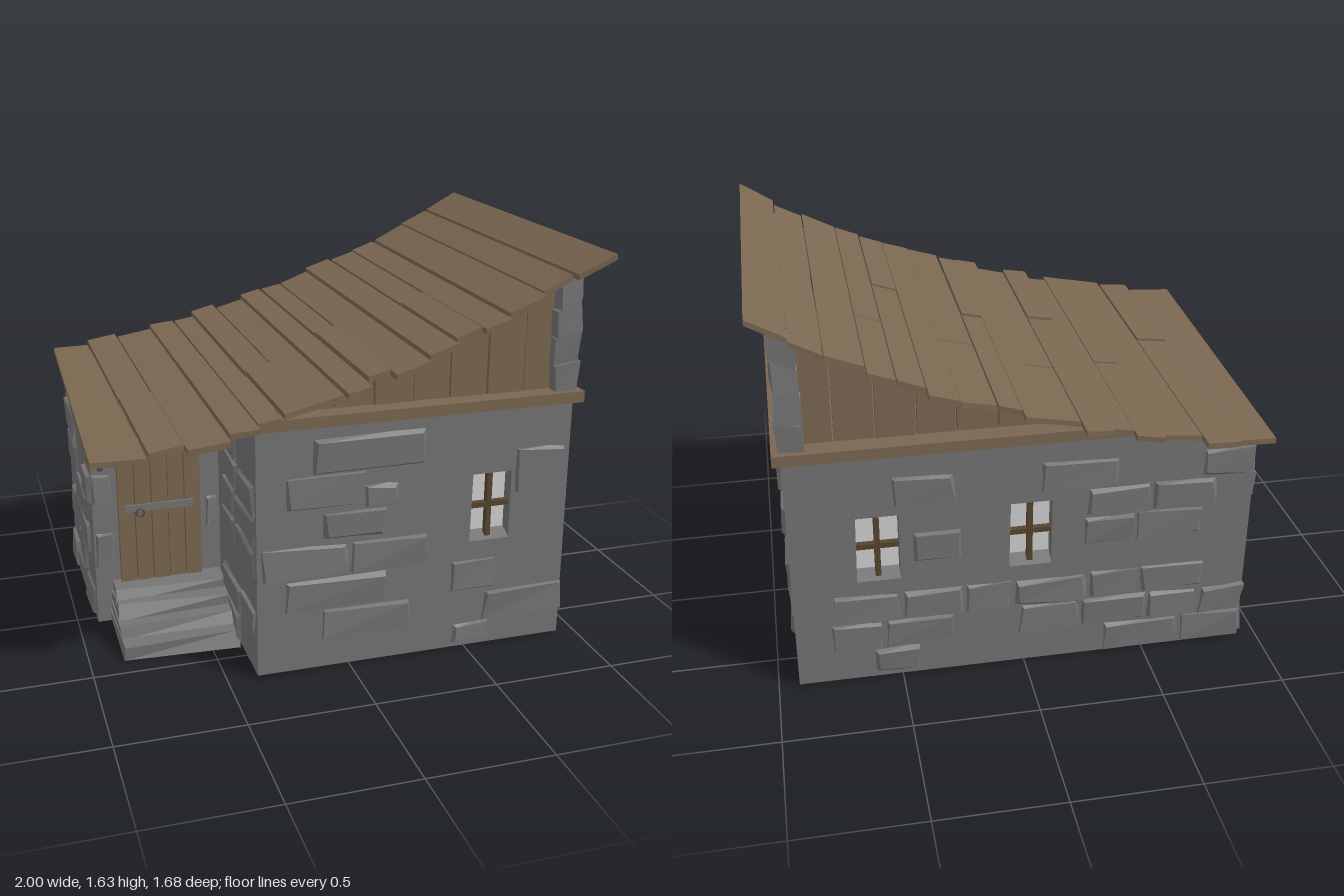
import * as THREE from 'three';

const mat = (name, color) => Object.assign(new THREE.MeshStandardMaterial({ color }), { name });
const stone = mat('stone', 0x747474);
const wood = mat('wood', 0x7a6751);
const darkWood = mat('dark wood', 0x57452f);
const iron = mat('iron', 0x4a4a4a);
const pane = mat('pane', 0xd2d2d2);

let seed = 7;
const rnd = () => (seed = (seed * 16807) % 2147483647) / 2147483647;
const jit = (a) => (rnd() - 0.5) * 2 * a;

// Roof height by x, sampled every 0.2
const ROOF = [0.995, 1.005, 1.04, 1.08, 1.13, 1.19, 1.255, 1.33, 1.415, 1.515, 1.635];
function roofY(x) {
  const t = THREE.MathUtils.clamp((x + 1) * 5, 0, 9.999), i = Math.floor(t);
  return THREE.MathUtils.lerp(ROOF[i], ROOF[i + 1], t - i);
}

function add(parent, name, geo, material) {
  const m = new THREE.Mesh(geo, material);
  m.name = name;
  parent.add(m);
  return m;
}

function box(parent, name, material, x0, x1, y0, y1, z0, z1) {
  const m = add(parent, name, new THREE.BoxGeometry(x1 - x0, y1 - y0, z1 - z0), material);
  m.position.set((x0 + x1) / 2, (y0 + y1) / 2, (z0 + z1) / 2);
  return m;
}

// Six-sided block whose eight corners come from a rule of (right, top, front) flags
function block(parent, name, material, rule) {
  const g = new THREE.BoxGeometry(1, 1, 1), p = g.attributes.position, corners = {};
  for (let i = 0; i < p.count; i++) {
    const f = [p.getX(i) > 0, p.getY(i) > 0, p.getZ(i) > 0];
    const c = (corners[f.join()] ??= rule(...f));
    p.setXYZ(i, ...c);
  }
  const flat = g.toNonIndexed();
  flat.computeVertexNormals();
  return add(parent, name, flat, material);
}

// Rough tapered stone standing out of a wall plane at local z = 0
function wallStone(wall, [u0, u1, y0, y1]) {
  block(wall, 'wallStone', stone, (r, t, f) => {
    const inset = f ? 0.012 + jit(0.01) : 0;
    return [(r ? u1 - inset : u0 + inset) + jit(0.007), (t ? y1 - inset : y0 + inset) + jit(0.007),
      f ? 0.015 + jit(0.006) : -0.01];
  });
}

function wallGroup(parent, name, x, z, turn, stones) {
  const g = new THREE.Group();
  g.name = name;
  g.position.set(x, 0, z);
  g.rotation.y = turn;
  stones.forEach((s) => wallStone(g, s));
  parent.add(g);
  return g;
}

// Scattered courses of stones that keep clear of the window openings
function courses(u0, u1, openings) {
  const list = [];
  for (let row = 0; row < 7; row++) {
    const y = 0.02 + row * 0.13;
    for (let u = u0 + rnd() * 0.15; u < u1 - 0.16;) {
      const w = Math.min(0.18 + rnd() * 0.14, u1 - u);
      const hit = openings.some((c) => u < c + 0.11 && u + w > c - 0.11 && y < 0.78 && y + 0.13 > 0.44);
      if (!hit && rnd() < 0.62) list.push([u, u + w, y, y + 0.13]);
      u += w + 0.01;
    }
  }
  return list;
}

// Wall panel with window openings; outline in local u and y, outer face at z = 0
function windowWall(wall, outline, centres) {
  const s = new THREE.Shape(outline.map((p) => new THREE.Vector2(...p)));
  for (const c of centres) {
    const rect = [[c - 0.085, 0.47], [c - 0.08, 0.76], [c + 0.085, 0.76], [c + 0.085, 0.47]];
    s.holes.push(new THREE.Path(rect.map((p) => new THREE.Vector2(...p))));
    box(wall, 'windowPane', pane, c - 0.09, c + 0.09, 0.46, 0.77, -0.062, -0.056);
    box(wall, 'windowMullion', darkWood, c - 0.011, c + 0.011, 0.475, 0.76, -0.04, -0.015);
    box(wall, 'windowBar', darkWood, c - 0.085, c + 0.085, 0.608, 0.63, -0.042, -0.018);
    block(wall, 'windowSill', stone, (r, t, f) =>
      [c + (r ? 0.085 : -0.085), t ? (f ? 0.475 : 0.5) : 0.45, f ? 0.004 : -0.055]);
  }
  const g = new THREE.ExtrudeGeometry(s, { depth: 0.065, bevelEnabled: false });
  g.translate(0, 0, -0.065);
  add(wall, 'wallPanel', g, stone);
}

function buildWalls(root) {
  box(root, 'mainCore', stone, -0.38, 0.918, 0.01, 1.04, -0.625, 0.625);
  block(root, 'entryCore', stone, (r, t, f) =>
    [r ? -0.37 : -0.918, t ? (r ? 1.05 : 0.975) : 0.01, f ? 0.06 : -0.625]);

  const front = wallGroup(root, 'frontWall', 0, 0.687, 0, [
    [-0.27, 0.05, 0.69, 0.83], [-0.16, 0.3, 0.83, 0.98], [0.05, 0.2, 0.67, 0.77], [-0.36, -0.01, 0.41, 0.54],
    [0, 0.32, 0.41, 0.54], [-0.27, 0.15, 0.26, 0.4], [-0.12, 0.25, 0.13, 0.26], [0.42, 0.62, 0.26, 0.4],
    [0.57, 0.918, 0.12, 0.25], [0.69, 0.9, 0.66, 0.85], [-0.12, 0.15, 0.55, 0.67], [0.43, 0.6, 0.02, 0.12]]);
  windowWall(front, [[-0.38, 0.01], [0.918, 0.01], [0.918, 1.04], [-0.38, 1.04]], [0.585]);

  wallGroup(root, 'rightWall', 0.917, 0, Math.PI / 2, [
    [-0.18, 0.07, 0.78, 0.91], [0.27, 0.48, 0.78, 0.91], [-0.48, -0.2, 0.52, 0.65], [0.35, 0.6, 0.65, 0.78],
    [-0.18, 0.07, 0.39, 0.52], [0.3, 0.57, 0.39, 0.52], [-0.55, -0.31, 0.26, 0.39], [-0.31, -0.06, 0.26, 0.39],
    [0.18, 0.45, 0.26, 0.39], [-0.48, -0.2, 0.13, 0.26], [-0.04, 0.24, 0.13, 0.26], [-0.36, -0.13, 0.01, 0.13],
    [0.13, 0.38, 0.01, 0.13], [-0.66, -0.4, 0.78, 0.91], [0.18, 0.35, 0.53, 0.65]]);

  const back = wallGroup(root, 'backWall', 0, -0.687, Math.PI, courses(-0.91, 0.92, [-0.58, 0.02]));
  windowWall(back, [[-0.918, 0.01], [0.918, 0.01], [0.918, 0.97], [0.38, 1.04], [-0.918, 1.04]], [-0.58, 0.02]);

  wallGroup(root, 'leftWall', -0.917, 0, -Math.PI / 2, courses(-0.68, 0.05, []));
  wallGroup(root, 'entryWall', 0, 0.06, 0, [[-0.918, -0.83, 0.27, 0.42], [-0.918, -0.84, 0.55, 0.68], [-0.45, -0.39, 0.4, 0.54]]);
  wallGroup(root, 'entrySideWall', -0.378, 0, -Math.PI / 2, courses(0.1, 0.67, []));
}

function buildUpperStorey(root) {
  box(root, 'ledge', wood, -0.4, 0.95, 1.03, 1.075, -0.72, 0.72);
  // Gable boards cut to the roof line, front and back
  const xs = [-0.38, -0.22, -0.06, 0.1, 0.26, 0.41, 0.565, 0.72, 0.85];
  for (const side of [1, -1]) {
    for (let i = 0; i < xs.length - 1; i++) {
      const a = xs[i] + 0.003, b = xs[i + 1] - 0.003, z = side * (0.63 + jit(0.006));
      block(root, 'gableBoard', wood, (r, t, f) => {
        const x = r ? b : a;
        return [x, t ? Math.max(roofY(x) - 0.022, 1.06) : 1.05, z + (f ? 0.013 : -0.013)];
      });
    }
    // Corner post of stacked stones
    for (let k = 0; k < 4; k++) {
      block(root, 'cornerPost', stone, (r, t, f) => {
        const x = (r ? 0.928 : 0.832) + jit(0.008);
        const z = side * 0.633 + (f ? 0.06 : -0.06) + jit(0.008);
        const h = (r ? 1.565 : 1.505) - 1.07;
        return [x, 1.07 + h * (k + (t ? 1 : 0)) / 4, z];
      });
    }
  }
  // Boards and header on the tall end
  for (let i = 0; i < 7; i++) {
    const z = -0.6 + i * 0.1757;
    box(root, 'endBoard', wood, 0.85 + jit(0.004), 0.878, 1.06, 1.5, z + 0.004, z + 0.171);
  }
  block(root, 'endHeader', wood, (r, t, f) => [r ? 0.912 : 0.85, t ? (r ? 1.565 : 1.52) : 1.485, f ? 0.595 : -0.595]);
}

// Each plank: x range, back z at both edges, front z at both edges, lift, optional joint z
const PLANKS = [
  [-1, -0.8, -0.78, -0.78, 0.76, 0.78, 0], [-0.795, -0.665, -0.81, -0.83, 0.79, 0.78, 0.015, 0.13],
  [-0.66, -0.505, -0.77, -0.78, 0.82, 0.84, 0], [-0.5, -0.393, -0.82, -0.81, 0.8, 0.82, 0.006, -0.16],
  [-0.388, -0.302, -0.78, -0.78, 0.77, 0.77, 0], [-0.297, -0.19, -0.82, -0.845, 0.8, 0.79, 0.016, 0.22],
  [-0.185, -0.063, -0.77, -0.78, 0.77, 0.77, 0, -0.3], [-0.058, 0.033, -0.81, -0.82, 0.81, 0.81, 0.006],
  [0.038, 0.123, -0.78, -0.77, 0.75, 0.75, 0.016, 0.08], [0.13, 0.265, -0.77, -0.8, 0.8, 0.8, 0, -0.24],
  [0.27, 0.383, -0.82, -0.825, 0.77, 0.77, 0.006], [0.388, 0.488, -0.78, -0.77, 0.74, 0.74, 0.01, 0.15],
  [0.493, 0.593, -0.78, -0.78, 0.77, 0.78, 0, -0.25], [0.598, 0.738, -0.75, -0.77, 0.75, 0.77, 0.004],
  [0.743, 0.858, -0.78, -0.77, 0.73, 0.73, 0], [0.862, 1, -0.755, -0.755, 0.77, 0.8, 0]];

function buildRoof(root) {
  for (const [a, b, ba, bb, fa, fb, lift, joint] of PLANKS) {
    const plank = (ba, bb, fa, fb, up) => block(root, 'roofPlank', wood, (r, t, f) => {
      const x = r ? b : a === -1 && !f ? -0.955 : a;
      return [x, roofY(r ? b : a) + up + (r ? -0.003 : 0.004) - (t ? 0 : 0.022), f ? (r ? fb : fa) : (r ? bb : ba)];
    });
    if (joint === undefined) plank(ba, bb, fa, fb, lift);
    else {
      plank(ba, bb, joint - 0.003, joint - 0.006, lift * 0.4);
      plank(joint + 0.003, joint, fa, fb, lift);
    }
  }
}

function buildEntry(root) {
  // Door of five boards with lintel, iron band and ring
  for (let i = 0; i < 5; i++) {
    const x = -0.815 + i * 0.07;
    box(root, 'doorBoard', wood, x + 0.002, x + 0.068, 0.19, 0.78, 0.05, 0.085 + jit(0.004));
  }
  block(root, 'doorLintel', wood, (r, t, f) =>
    [(r ? -0.455 : -0.838) + jit(0.008), (t ? 0.825 : 0.77) + jit(0.005), f ? 0.12 : 0.05]);
  box(root, 'doorBand', stone, -0.79, -0.5, 0.512, 0.542, 0.085, 0.096);
  add(root, 'doorRing', new THREE.TorusGeometry(0.017, 0.004, 6, 14), iron).position.set(-0.725, 0.508, 0.101);

  // Rough stone steps
  [[0, 0.06, 0.42], [0.05, 0.11, 0.34], [0.1, 0.155, 0.25], [0.145, 0.195, 0.18]].forEach(([y0, y1, z], i) =>
    block(root, 'step', stone, (r, t, f) =>
      [r ? -0.385 : -0.862 + i * 0.004 + jit(0.006), t ? y1 + jit(0.006) : y0, f ? z + jit(0.02) - (t ? 0.02 : 0) : 0.04]));

  // Porch beam on a slanted brace
  box(root, 'porchBeam', wood, -0.915, -0.37, 0.952, 0.99, 0.25, 0.29);
  block(root, 'porchBrace', wood, (r, t, f) =>
    [r ? -0.868 : -0.892, t ? 0.965 : f ? 0.7 : 0.73, (t ? 0.26 : 0.06) + (f ? 0.015 : -0.015)]);
}

export function createModel() {
  seed = 7;
  const root = new THREE.Group();
  root.name = 'stoneHut';
  buildWalls(root);
  buildUpperStorey(root);
  buildRoof(root);
  buildEntry(root);
  return root;
}
